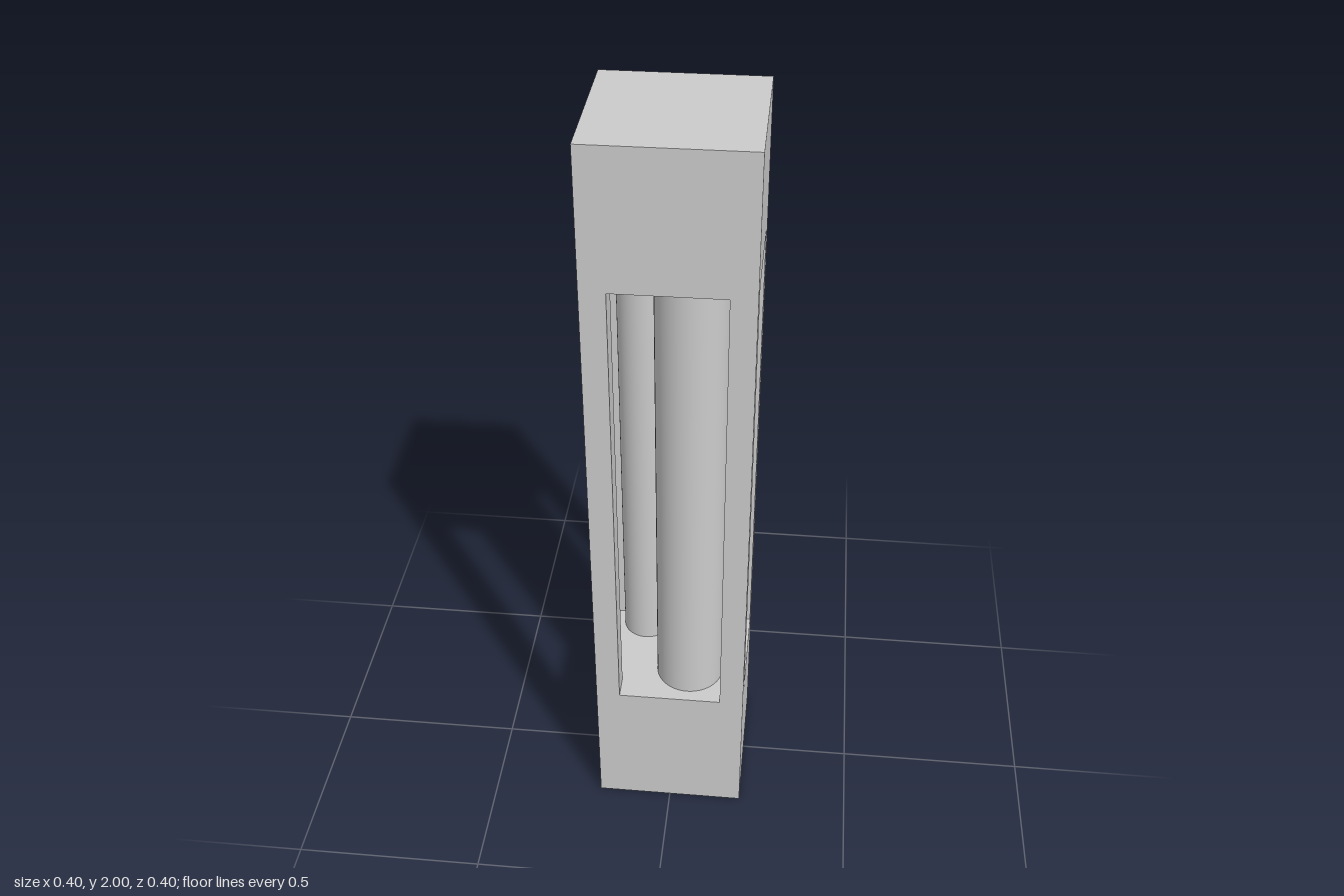
import * as THREE from 'three';

export function createModel() {
  const model = new THREE.Group();
  const material = new THREE.MeshStandardMaterial({ color: 0xcccccc });

  const W = 0.4, H = 2, POST = 0.063;
  const low = 0.39, high = 1.65;
  const midY = (low + high) / 2, openH = high - low;

  const add = (name, geometry, x, y, z) => {
    const mesh = new THREE.Mesh(geometry, material);
    mesh.name = name;
    mesh.position.set(x, y, z);
    model.add(mesh);
  };

  // Solid blocks below and above the windows
  add('base', new THREE.BoxGeometry(W, low, W), 0, low / 2, 0);
  add('cap', new THREE.BoxGeometry(W, H - high, W), 0, (H + high) / 2, 0);

  // Square corner posts
  const p = (W - POST) / 2;
  for (const sx of [-1, 1]) {
    for (const sz of [-1, 1]) {
      add('cornerPost', new THREE.BoxGeometry(POST, openH, POST), sx * p, midY, sz * p);
    }
  }

  // Upright round columns of four sizes: name, x, z, radius
  const columns = [
    ['largeColumn', 0.045, 0.077, 0.09],
    ['wideColumn', -0.093, -0.1, 0.065],
    ['mediumColumn', 0.097, -0.057, 0.045],
    ['slimColumn', 0.03, -0.115, 0.025],
  ];
  for (const [name, x, z, r] of columns) {
    add(name, new THREE.CylinderGeometry(r, r, openH, 48), x, midY, z);
  }

  return model;
}
